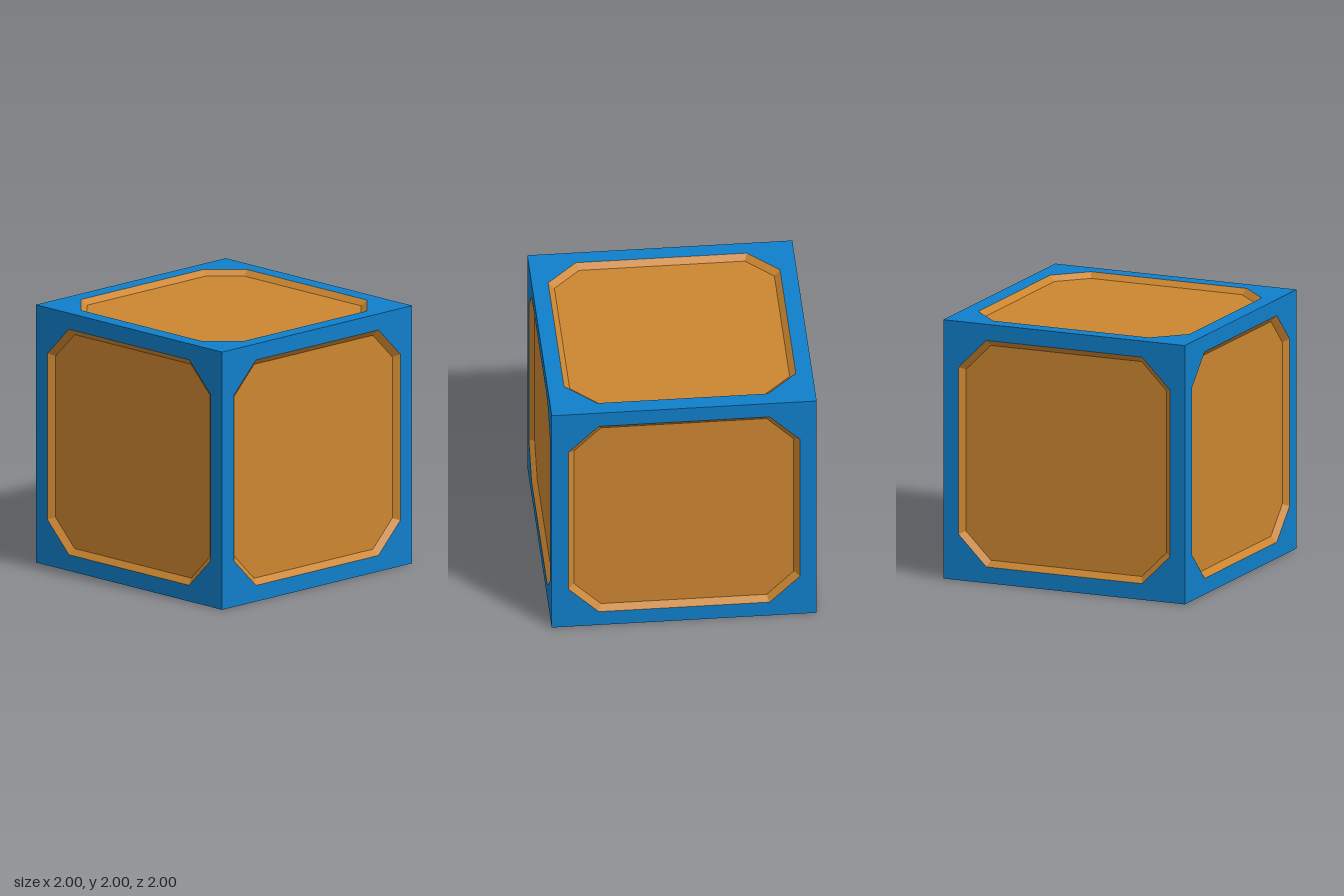
import * as THREE from 'three';

const blue = new THREE.MeshStandardMaterial({ color: 0x107fca });
const orange = new THREE.MeshStandardMaterial({ color: 0xcc8630 });
const orangeInside = new THREE.MeshStandardMaterial({ color: 0xcc8630, side: THREE.BackSide });

// Square of half-size h whose corners are cut where the sides reach c, counter-clockwise
function octagon(h, c) {
  return [[h, -c], [h, c], [c, h], [-c, h], [-h, c], [-h, -c], [-c, -h], [c, -h]]
    .map(([x, y]) => new THREE.Vector2(x, y));
}

function square(h) {
  return [[h, -h], [h, h], [-h, h], [-h, -h]].map(([x, y]) => new THREE.Vector2(x, y));
}

// Flat-shaded band joining an outer loop at depth z0 to an inner loop at depth z1
function band(outer, z0, inner, z1) {
  const pos = [];
  outer.forEach((a, i) => {
    const j = (i + 1) % outer.length;
    const b = outer[j], c = inner[j], d = inner[i];
    pos.push(a.x, a.y, z0, b.x, b.y, z0, c.x, c.y, z1);
    pos.push(a.x, a.y, z0, c.x, c.y, z1, d.x, d.y, z1);
  });
  const geo = new THREE.BufferGeometry();
  geo.setAttribute('position', new THREE.Float32BufferAttribute(pos, 3));
  geo.computeVertexNormals();
  return geo;
}

function add(parent, name, geo, mat) {
  const mesh = new THREE.Mesh(geo, mat);
  mesh.name = name;
  parent.add(mesh);
  return mesh;
}

export function createModel() {
  const model = new THREE.Group();
  model.name = 'panelledBox';

  const outer = octagon(0.875, 0.645);
  const inner = octagon(0.83, 0.625);
  const depth = 0.96, wall = 0.93;

  // One side facing +z: frame, bevel and recessed panel
  const frameShape = new THREE.Shape(square(1));
  frameShape.holes.push(new THREE.Path(outer));
  const frameGeo = new THREE.ShapeGeometry(frameShape).translate(0, 0, 1);
  const bevelGeo = band(outer, 1, inner, depth);
  const panelGeo = new THREE.ShapeGeometry(new THREE.Shape(inner)).translate(0, 0, depth);

  // Four sides and the top
  const sides = {
    front: [0, 0], left: [0, Math.PI / 2], back: [0, Math.PI],
    right: [0, -Math.PI / 2], top: [-Math.PI / 2, 0],
  };
  for (const [name, [rx, ry]] of Object.entries(sides)) {
    const side = new THREE.Group();
    side.name = name + 'Side';
    side.rotation.set(rx, ry, 0);
    side.position.y = 1;
    add(side, name + 'Frame', frameGeo, blue);
    add(side, name + 'Bevel', bevelGeo, orange);
    add(side, name + 'Panel', panelGeo, orange);
    model.add(side);
  }

  // Rim round the open bottom
  const rim = add(model, 'bottomRim', band(square(1), 1, square(wall), 0.99), orange);
  rim.rotation.x = Math.PI / 2;
  rim.position.y = 1;

  // Hollow inside: walls with softly shaded corners, and a flat ceiling
  const height = wall + 1 - 0.01;
  const walls = new THREE.CylinderGeometry(wall * Math.SQRT2, wall * Math.SQRT2, height, 4, 1, true);
  walls.rotateY(Math.PI / 4).translate(0, 0.01 + height / 2, 0);
  add(model, 'innerWalls', walls, orangeInside);
  const ceiling = new THREE.PlaneGeometry(2 * wall, 2 * wall);
  ceiling.rotateX(Math.PI / 2).translate(0, 1 + wall, 0);
  add(model, 'innerCeiling', ceiling, orange);

  return model;
}
